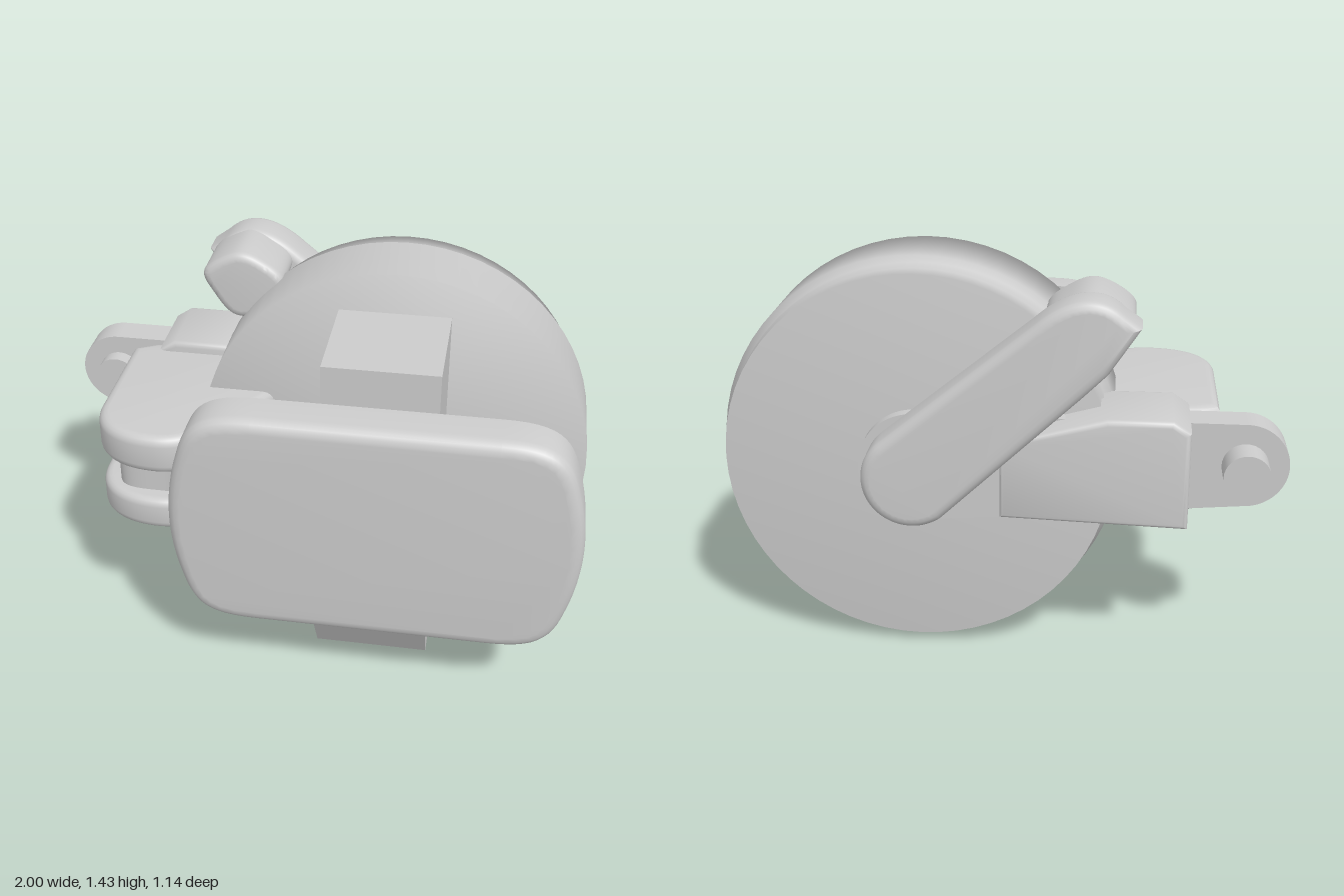
import * as THREE from 'three';
import { toCreasedNormals } from 'three/addons/utils/BufferGeometryUtils.js';

const material = new THREE.MeshStandardMaterial({ color: 0xcccccc });

function polygon(points) {
  return new THREE.Shape(points.map(([x, y]) => new THREE.Vector2(x, y)));
}

// Closed smooth outline through a few points
function smoothOutline(points, tension = 0.5) {
  const curve = new THREE.CatmullRomCurve3(
    points.map(([x, y]) => new THREE.Vector3(x, y, 0)), true, 'catmullrom', tension);
  return new THREE.Shape(curve.getPoints(64).slice(0, 64).map(p => new THREE.Vector2(p.x, p.y)));
}

// Slab whose full thickness and outline include the bevel
function slab(shape, depth, bevel = 0, crease = 0.7) {
  const g = new THREE.ExtrudeGeometry(shape, {
    depth: depth - 2 * bevel, curveSegments: 20, bevelEnabled: bevel > 0,
    bevelThickness: bevel, bevelSize: bevel, bevelOffset: -bevel, bevelSegments: 4,
  });
  g.translate(0, 0, bevel);
  return toCreasedNormals(g, crease);
}

export function createModel() {
  const model = new THREE.Group();
  model.name = 'discMechanism';
  const add = (name, geometry, x = 0, y = 0, z = 0) => {
    const mesh = new THREE.Mesh(geometry, material);
    mesh.name = name;
    mesh.position.set(x, y, z);
    model.add(mesh);
    return mesh;
  };
  const cx = 0.285, cy = 0.72;

  // Stepped round body, softly shaded
  const body = new THREE.LatheGeometry([
    [0, 0.395], [0.682, 0.395], [0.682, 0.32], [0.69, 0.32], [0.69, 0.27],
    [0.715, 0.27], [0.715, 0], [0, 0],
  ].reverse().map(([r, h]) => new THREE.Vector2(r, h)), 64);
  body.rotateX(-Math.PI / 2);
  add('roundBody', body, cx, cy, 0);

  // Front pad: bulging ends, flat back and rounded front rim
  const padShape = new THREE.Shape();
  padShape.moveTo(-0.13, 0.295);
  padShape.lineTo(0.69, 0.295);
  padShape.bezierCurveTo(0.87, 0.295, 0.92, 0.34, 0.955, 0.47);
  padShape.bezierCurveTo(1.005, 0.63, 1.005, 0.81, 0.955, 0.97);
  padShape.bezierCurveTo(0.92, 1.1, 0.87, 1.145, 0.69, 1.145);
  padShape.lineTo(-0.13, 1.145);
  padShape.bezierCurveTo(-0.31, 1.145, -0.36, 1.1, -0.395, 0.97);
  padShape.bezierCurveTo(-0.445, 0.81, -0.445, 0.63, -0.395, 0.47);
  padShape.bezierCurveTo(-0.36, 0.34, -0.31, 0.295, -0.13, 0.295);
  const pad = new THREE.ExtrudeGeometry(padShape, {
    depth: 0.115, curveSegments: 12, bevelThickness: 0.045, bevelSize: 0.045,
    bevelOffset: -0.045, bevelSegments: 4,
  });
  const pos = pad.attributes.position;
  for (let i = 0; i < pos.count; i++) pos.setZ(i, Math.max(0, pos.getZ(i)));
  add('frontPad', toCreasedNormals(pad, 0.7), 0, 0, 0.412);

  // Stem joining pad and body, chamfered at its lower front
  const stem = slab(polygon([
    [-0.02, 0.155], [0.46, 0.155], [0.55, 0.305], [0.42, 0.32], [0.41, 1.285], [-0.02, 1.285],
  ]), 0.4);
  stem.rotateY(-Math.PI / 2);
  add('stem', stem, 0.48, 0, 0);

  // Side fork: two rounded plates with a recessed core, outlined in plan
  const forkOutline = inset => {
    const s = new THREE.Shape();
    s.moveTo(-0.77 + inset, 0.26);
    s.lineTo(-0.77 + inset, -0.16);
    s.bezierCurveTo(-0.77 + inset, -0.31, -0.66, -0.385 + inset, -0.52, -0.385 + inset);
    s.bezierCurveTo(-0.44, -0.385 + inset, -0.38 - inset, -0.34, -0.34 - inset, -0.28);
    s.lineTo(-0.16 - inset, 0);
    s.lineTo(-0.16 - inset, 0.1);
    s.lineTo(-0.4, 0.3);
    s.lineTo(-0.68, 0.31);
    return s;
  };
  [['forkUpperPlate', 0.77, 0.15, 0, 0.035], ['forkCore', 0.64, 0.15, 0.07, 0],
    ['forkLowerPlate', 0.53, 0.125, 0, 0.03]].forEach(([name, y, h, inset, bevel]) => {
    const g = slab(forkOutline(inset), h, bevel);
    g.rotateX(-Math.PI / 2);
    add(name, g, 0, y, 0);
  });

  // Rear arm from the hub to the end eye, with a cross pin
  const eyeX = -0.85, eyeY = 0.77;
  const arm = new THREE.Shape();
  arm.absarc(eyeX, eyeY, 0.15, Math.PI / 2, Math.PI * 1.5, false);
  arm.absarc(cx, cy, 0.2, -Math.PI / 2, Math.PI / 2, false);
  add('rearArm', slab(arm, 0.12), 0, 0, -0.44);
  const pin = new THREE.CylinderGeometry(0.08, 0.08, 0.285, 32);
  pin.rotateX(Math.PI / 2);
  add('eyePin', pin, eyeX, eyeY, -0.405);

  // Tapered block on the arm
  add('armBlock', slab(polygon([
    [-0.66, 0.57], [-0.02, 0.59], [-0.02, 0.86], [-0.38, 0.96], [-0.6, 0.96], [-0.66, 0.92],
  ]), 0.31, 0.02), 0, 0, -0.55);

  // Rear lever pivoting at the hub
  const lever = new THREE.Shape();
  lever.absarc(cx, cy, 0.172, -2.23, 0.91, false);
  lever.lineTo(-0.13, 1.28);
  lever.bezierCurveTo(-0.23, 1.37, -0.34, 1.405, -0.43, 1.32);
  lever.lineTo(-0.485, 1.28);
  lever.lineTo(-0.38, 1.12);
  lever.lineTo(-0.3, 1.04);
  add('rearLever', slab(lever, 0.165, 0.035), 0, 0, -0.573);

  // Thumb hook at the lever tip, reaching forward past the rim
  add('leverHook', slab(smoothOutline([
    [-0.16, 1.26], [-0.24, 1.34], [-0.34, 1.365], [-0.46, 1.29], [-0.43, 1.2],
    [-0.35, 1.11], [-0.24, 1.13],
  ]), 0.34, 0.03), 0, 0, -0.55);

  return model;
}
